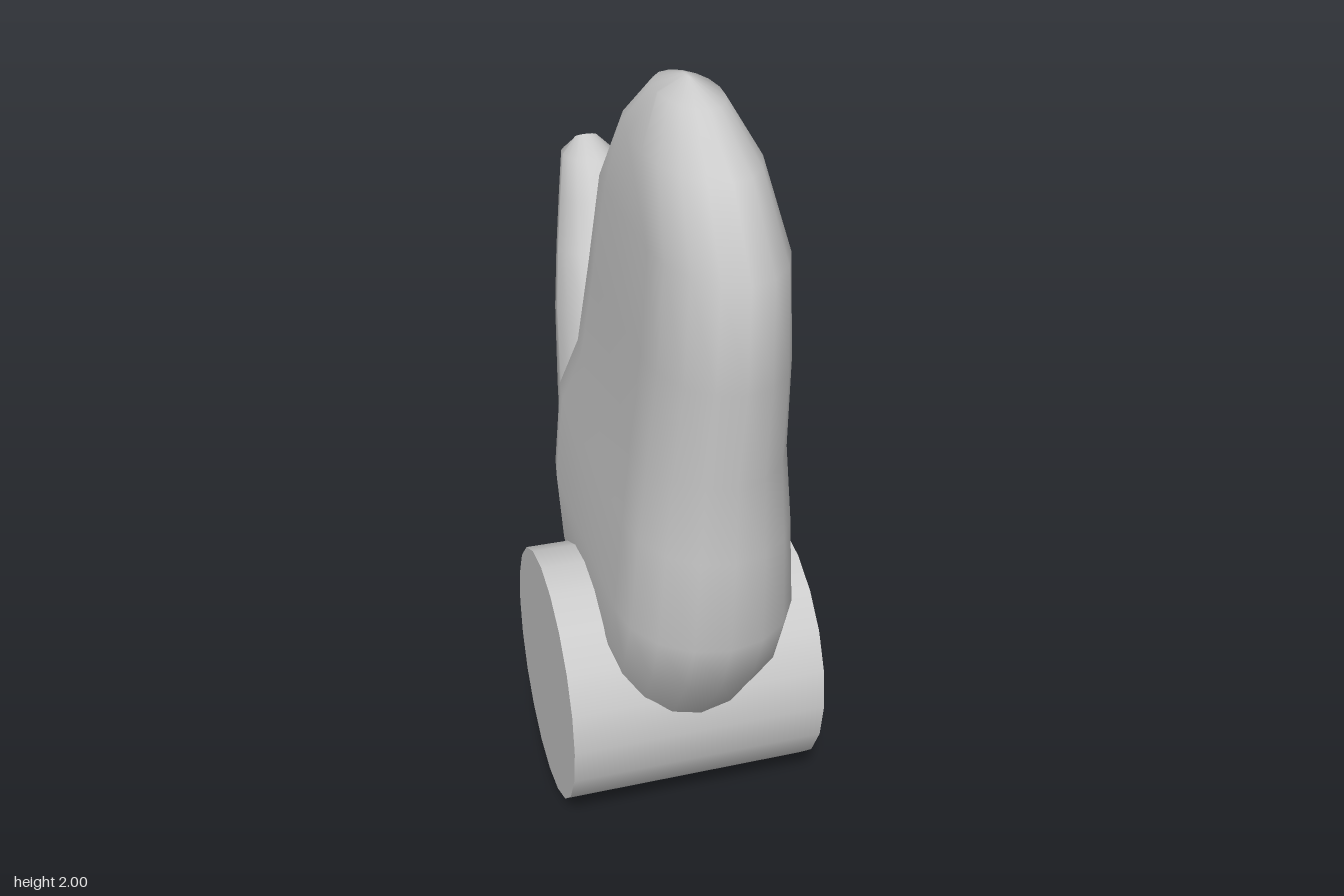
import * as THREE from 'three';

const material = new THREE.MeshStandardMaterial({ color: 0xcccccc });

// Loft through flattened rings. Each section is [zA, yA, zB, yB, halfThickness]:
// a flat-sided ring with rounded ends that spans from edge point A to edge point B.
function loft(name, sections, roundDepth) {
  const steps = 8;
  const pos = [];
  const index = [];
  const ring = 2 * (steps + 1);
  for (const [zA, yA, zB, yB, w] of sections) {
    const half = Math.hypot(zA - zB, yA - yB) / 2;
    const d = Math.min(roundDepth, half * 0.97);
    for (const end of [1, -1]) {
      for (let k = 0; k <= steps; k++) {
        const t = -Math.PI / 2 + (k / steps) * Math.PI;
        const u = end * (half - d + d * Math.cos(t)) / half;
        pos.push(
          end * w * Math.sin(t),
          (yA + yB) / 2 + u * (yA - yB) / 2,
          (zA + zB) / 2 + u * (zA - zB) / 2
        );
      }
    }
  }
  for (let i = 0; i < sections.length - 1; i++) {
    for (let k = 0; k < ring; k++) {
      const a = i * ring + k;
      const b = i * ring + (k + 1) % ring;
      index.push(a, b, a + ring, b, b + ring, a + ring);
    }
  }
  // Close both ends with fans
  const last = (sections.length - 1) * ring;
  for (const [base, top] of [[0, false], [last, true]]) {
    const [zA, yA, zB, yB] = sections[base / ring];
    const centre = pos.length / 3;
    pos.push(0, (yA + yB) / 2, (zA + zB) / 2);
    for (let k = 0; k < ring; k++) {
      const a = base + k;
      const b = base + (k + 1) % ring;
      if (top) index.push(a, b, centre);
      else index.push(b, a, centre);
    }
  }
  const geometry = new THREE.BufferGeometry();
  geometry.setAttribute('position', new THREE.Float32BufferAttribute(pos, 3));
  geometry.setIndex(index);
  geometry.computeVertexNormals();
  const mesh = new THREE.Mesh(geometry, material);
  mesh.name = name;
  return mesh;
}

export function createModel() {
  const group = new THREE.Group();
  group.name = 'mitten';

  // Palm and joined fingers
  group.add(loft('palm', [
    [0.40, 0.30, -0.12, 0.30, 0.18],
    [0.50, 0.42, -0.22, 0.42, 0.20],
    [0.63, 0.60, -0.34, 0.60, 0.22],
    [0.69, 0.75, -0.41, 0.75, 0.22],
    [0.70, 1.00, -0.40, 1.00, 0.20],
    [0.70, 1.20, -0.25, 1.20, 0.18],
    [0.74, 1.45, -0.17, 1.45, 0.165],
    [0.74, 1.70, -0.10, 1.70, 0.15],
    [0.61, 1.87, 0.01, 1.86, 0.125],
    [0.45, 1.97, 0.15, 1.97, 0.07],
    [0.31, 2.00, 0.27, 2.00, 0.005],
  ], 0.24));

  // Thumb, leaning away to the back
  group.add(loft('thumb', [
    [0.10, 0.45, -0.10, 0.28, 0.17],
    [0.10, 0.60, -0.32, 0.50, 0.20],
    [0.06, 0.80, -0.40, 0.63, 0.20],
    [-0.05, 1.00, -0.54, 0.90, 0.175],
    [-0.20, 1.22, -0.60, 1.08, 0.155],
    [-0.35, 1.32, -0.66, 1.24, 0.125],
    [-0.44, 1.43, -0.70, 1.38, 0.10],
    [-0.52, 1.52, -0.745, 1.50, 0.075],
    [-0.64, 1.56, -0.70, 1.53, 0.03],
  ], 0.24));

  // Wrist joint: a drum lying across the base
  const wrist = new THREE.Mesh(new THREE.CylinderGeometry(0.34, 0.34, 0.67, 20), material);
  wrist.name = 'wrist';
  wrist.rotation.z = Math.PI / 2;
  wrist.position.set(0, 0.34, 0.145);
  group.add(wrist);

  return group;
}
